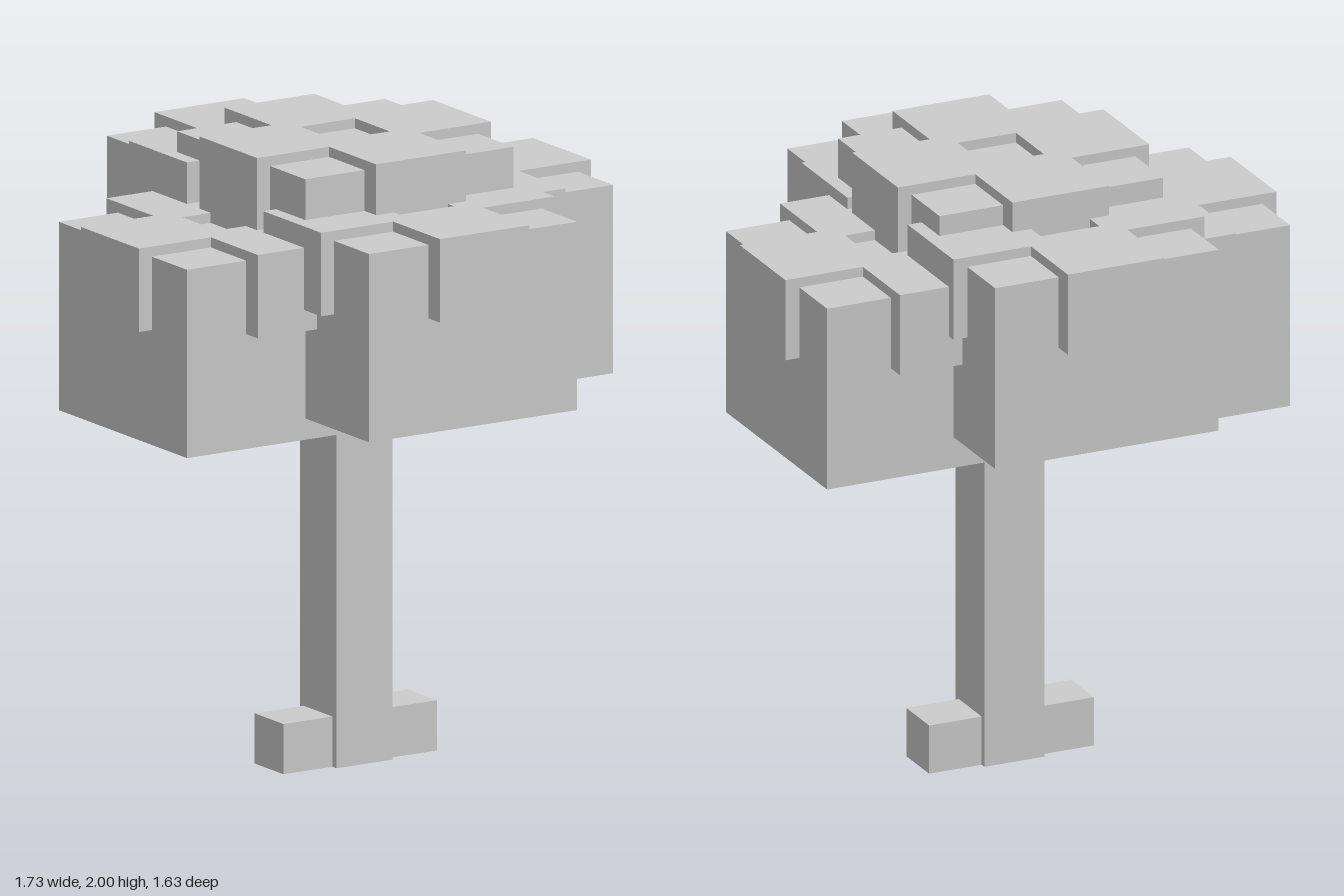
import * as THREE from 'three';

export function createModel() {
  const tree = new THREE.Group();
  tree.name = 'blockTree';
  const grey = new THREE.MeshStandardMaterial({ color: 0xcccccc });
  grey.name = 'lightGrey';

  const add = (parent, name, geometry, x, y, z) => {
    const mesh = new THREE.Mesh(geometry, grey);
    mesh.name = name;
    mesh.position.set(x, y, z);
    parent.add(mesh);
    return mesh;
  };

  // Trunk and the two roots at its sides
  add(tree, 'trunk', new THREE.BoxGeometry(0.205, 1.5, 0.21), 0, 0.75, 0.02);
  for (const side of [-1, 1]) {
    add(tree, side > 0 ? 'leftRoot' : 'rightRoot',
      new THREE.BoxGeometry(0.2, 0.16, 0.165), side * 0.182, 0.08, 0.018);
  }

  // Foliage cap: a plus-shaped slab with a square opening in the middle
  const a = 0.165, w = 0.43, d = 0.4325;
  const plus = new THREE.Shape([
    [a, -d], [a, -a], [w, -a], [w, a], [a, a], [a, d],
    [-a, d], [-a, a], [-w, a], [-w, -a], [-a, -a], [-a, -d],
  ].map(([x, y]) => new THREE.Vector2(x, y)));
  const h = 0.1;
  plus.holes.push(new THREE.Path(
    [[-h, -h], [-h, h], [h, h], [h, -h]].map(([x, y]) => new THREE.Vector2(x, y))));
  const capGeometry = new THREE.ExtrudeGeometry(plus, { depth: 0.266, bevelEnabled: false });
  capGeometry.rotateX(-Math.PI / 2).translate(0, -0.266, 0);
  const blockGeometry = new THREE.BoxGeometry(0.765, 0.6, 0.732);

  // Foliage clusters: x, top height, z
  const clusters = {
    topFoliage: [0, 2.0, 0.015],
    rightFoliage: [-0.435, 1.77, 0.015],
    leftFoliage: [0.432, 1.8, -0.085],
    frontFoliage: [0, 1.838, 0.38],
    backFoliage: [0, 1.902, -0.386],
  };
  for (const [name, [x, y, z]] of Object.entries(clusters)) {
    const cluster = new THREE.Group();
    cluster.name = name;
    cluster.position.set(x, y, z);
    add(cluster, 'foliageBlock', blockGeometry, 0, -0.332, 0);
    add(cluster, 'foliageCap', capGeometry, 0, 0, 0);
    tree.add(cluster);
  }

  // Branches from the trunk into the side clusters
  const branches = {
    rightBranch: [[0, 1.01, 0.015], [-0.4, 1.41, 0.015]],
    leftBranch: [[0, 1.01, 0.015], [0.4, 1.41, -0.085]],
    frontBranch: [[0, 0.99, 0.01], [0, 1.5, 0.355]],
    backBranch: [[0, 0.99, 0.03], [0, 1.5, -0.32]],
  };
  for (const [name, ends] of Object.entries(branches)) {
    const [from, to] = ends.map((p) => new THREE.Vector3(...p));
    const mid = from.clone().lerp(to, 0.5);
    const branch = add(tree, name,
      new THREE.BoxGeometry(0.095, 0.095, from.distanceTo(to)), mid.x, mid.y, mid.z);
    branch.lookAt(to);
  }
  return tree;
}
